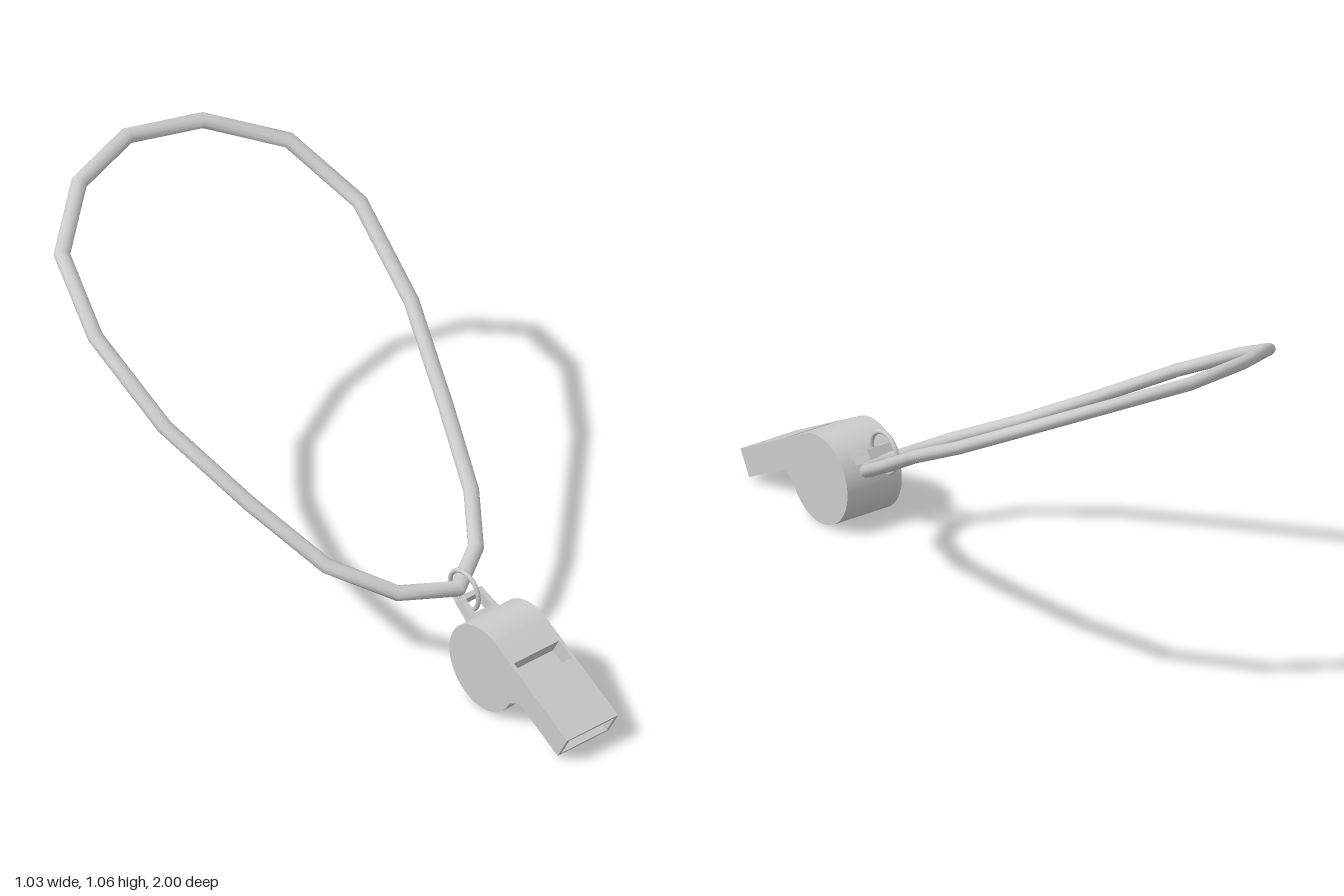
import * as THREE from 'three';
import { toCreasedNormals } from 'three/addons/utils/BufferGeometryUtils.js';

const TILT = 0.503; // slope of the mouthpiece
const R = 0.133; // radius of the round chamber
const HALF = 0.094, WALL = 0.011;

const grey = new THREE.MeshStandardMaterial({ color: 0xcccccc });

function add(parent, name, geometry) {
  const mesh = new THREE.Mesh(geometry, grey);
  mesh.name = name;
  parent.add(mesh);
  return mesh;
}

// Side outline: x runs towards the mouth, y away from the flat top.
function whistleOutline(hollow) {
  const s = new THREE.Shape();
  s.moveTo(0.346, R);
  if (hollow) {
    s.lineTo(0.135, R); // air slot
    s.lineTo(0.135, 0.08);
    s.lineTo(0.074, 0.08);
    s.lineTo(0.074, R);
  }
  s.lineTo(0, R);
  s.absarc(0, 0, R, Math.PI / 2, Math.PI * 2 + 0.075, false);
  s.lineTo(0.16, 0.05);
  s.lineTo(0.346, 0.049);
  if (hollow) {
    s.lineTo(0.346, 0.058); // mouth opening
    s.lineTo(0.266, 0.058);
    s.lineTo(0.266, 0.124);
    s.lineTo(0.346, 0.124);
  }
  s.closePath();
  return s;
}

// Slab of the whistle between two x positions.
function slab(hollow, x0, x1) {
  const g = new THREE.ExtrudeGeometry(whistleOutline(hollow), {
    depth: x1 - x0, bevelEnabled: false, curveSegments: 36,
  });
  g.rotateY(-Math.PI / 2);
  g.translate(x1, 0, 0);
  return toCreasedNormals(g, 0.4);
}

// Flat frame on the back of the chamber that holds the ring.
function lugGeometry() {
  const s = new THREE.Shape([[-0.05, 0.12], [0.05, 0.12], [0.04, 0.2], [-0.04, 0.2]]
    .map(([x, y]) => new THREE.Vector2(x, y)));
  s.holes.push(new THREE.Path([[-0.03, 0.138], [-0.026, 0.185], [0.026, 0.185], [0.03, 0.138]]
    .map(([x, y]) => new THREE.Vector2(x, y))));
  const g = new THREE.ExtrudeGeometry(s, { depth: 0.036, bevelEnabled: false });
  g.rotateX(-Math.PI / 2);
  g.translate(0, 0.01, 0);
  return g;
}

// Closed cord with mitred corners and an oval section.
function cordGeometry(path, wide, thick, sides) {
  const pts = path.map((p) => new THREE.Vector3(...p));
  const n = pts.length;
  const up = new THREE.Vector3(0, 0.87, 0.49);
  const pos = [], idx = [];
  pts.forEach((p, i) => {
    const a = p.clone().sub(pts[(i + n - 1) % n]).normalize();
    const b = pts[(i + 1) % n].clone().sub(p).normalize();
    const t = a.clone().add(b).normalize();
    const side = new THREE.Vector3().crossVectors(t, up).normalize();
    const top = new THREE.Vector3().crossVectors(side, t);
    const mitre = 1 / t.dot(a);
    for (let j = 0; j < sides; j++) {
      const w = (j / sides) * Math.PI * 2;
      const v = p.clone()
        .addScaledVector(side, Math.cos(w) * wide * mitre)
        .addScaledVector(top, Math.sin(w) * thick);
      pos.push(v.x, v.y, v.z);
      const k = (j + 1) % sides, m = (i + 1) % n;
      const A = i * sides + j, B = i * sides + k, C = m * sides + k, D = m * sides + j;
      idx.push(A, B, C, A, C, D);
    }
  });
  const g = new THREE.BufferGeometry();
  g.setAttribute('position', new THREE.Float32BufferAttribute(pos, 3));
  // side x top points backwards along the path, so reverse each face
  for (let i = 0; i < idx.length; i += 3) [idx[i + 1], idx[i + 2]] = [idx[i + 2], idx[i + 1]];
  g.setIndex(idx);
  g.computeVertexNormals();
  return g;
}

export function createModel() {
  const model = new THREE.Group();
  model.name = 'whistleOnCord';

  // Whistle: hollowed core between two solid cheeks
  const whistle = new THREE.Group();
  whistle.name = 'whistle';
  whistle.position.set(0, R, 0.633);
  whistle.rotation.x = TILT;
  model.add(whistle);
  const inner = HALF - WALL;
  add(whistle, 'whistleCore', slab(true, -inner, inner));
  add(whistle, 'leftCheek', slab(false, inner, HALF));
  add(whistle, 'rightCheek', slab(false, -HALF, -inner));
  add(whistle, 'ringLug', lugGeometry());

  // Split ring
  const ring = add(model, 'ring', new THREE.TorusGeometry(0.06, 0.007, 10, 32));
  ring.rotation.y = Math.PI / 2;
  ring.position.set(0, 0.26, 0.455);

  // Neck cord, starting at the ring and going round by the left side
  const path = [
    [0, 0.25, 0.428], [0.134, 0.288, 0.35], [0.232, 0.364, 0.217], [0.326, 0.494, 0],
    [0.43, 0.657, -0.265], [0.488, 0.815, -0.55], [0.418, 0.94, -0.772], [0.229, 1.017, -0.92],
    [0, 1.04, -0.977], [-0.226, 1.017, -0.92], [-0.418, 0.942, -0.772], [-0.492, 0.817, -0.545],
    [-0.482, 0.657, -0.262], [-0.395, 0.494, 0], [-0.306, 0.361, 0.222], [-0.172, 0.284, 0.37],
  ];
  const cord = cordGeometry(path, 0.023, 0.019, 12);
  add(model, 'neckCord', cord);

  return model;
}
